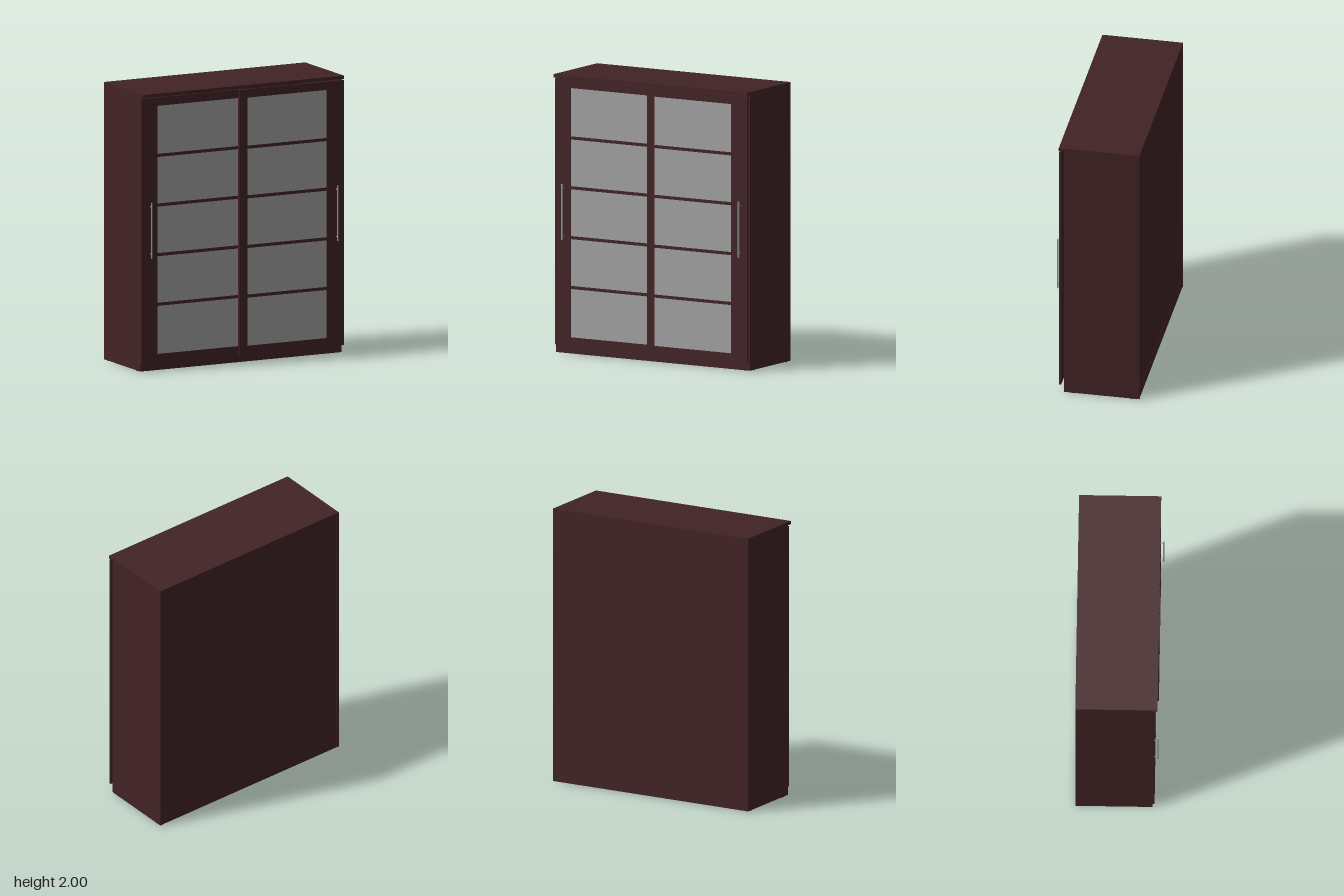
import * as THREE from 'three';

const wood = new THREE.MeshStandardMaterial({ name: 'dark wood', color: 0x422325 });
const glass = new THREE.MeshStandardMaterial({ name: 'frosted glass', color: 0xa6a4a4 });
const metal = new THREE.MeshStandardMaterial({ name: 'handle metal', color: 0x8f9a96 });

// Box given by its min and max corners
function slab(name, [x0, y0, z0], [x1, y1, z1], material = wood) {
  const mesh = new THREE.Mesh(new THREE.BoxGeometry(x1 - x0, y1 - y0, z1 - z0), material);
  mesh.name = name;
  mesh.position.set((x0 + x1) / 2, (y0 + y1) / 2, (z0 + z1) / 2);
  return mesh;
}

function rod(name, radius, length) {
  const mesh = new THREE.Mesh(new THREE.CylinderGeometry(radius, radius, length, 16), metal);
  mesh.name = name;
  return mesh;
}

// Upright bar on two short posts; origin on the door face
function createHandle() {
  const handle = new THREE.Group();
  handle.name = 'handle';
  const bar = rod('handleBar', 0.006, 0.4);
  bar.position.set(0, 1.017, 0.022);
  handle.add(bar);
  for (const y of [0.847, 1.187]) {
    const post = rod('handlePost', 0.004, 0.022);
    post.rotation.x = Math.PI / 2;
    post.position.set(0, y, 0.011);
    handle.add(post);
  }
  return handle;
}

// Sliding door: frame with an opening, glass pane and crossbars
function createDoor(name, x0, x1, glassX0, glassX1, z, handleX) {
  const door = new THREE.Group();
  door.name = name;
  const thick = 0.015, bottom = 0.062, top = 1.968, glassY0 = 0.122, glassY1 = 1.908;

  const outline = new THREE.Shape([[x0, bottom], [x1, bottom], [x1, top], [x0, top]]
    .map(p => new THREE.Vector2(...p)));
  outline.holes.push(new THREE.Path([[glassX0, glassY0], [glassX0, glassY1], [glassX1, glassY1], [glassX1, glassY0]]
    .map(p => new THREE.Vector2(...p))));
  const frame = new THREE.Mesh(new THREE.ExtrudeGeometry(outline, { depth: thick, bevelEnabled: false }), wood);
  frame.name = 'doorFrame';
  frame.position.z = z;
  door.add(frame);

  door.add(slab('glassPane', [glassX0, glassY0, z + 0.004], [glassX1, glassY1, z + 0.011], glass));
  for (let i = 1; i < 5; i++) {
    const y = glassY0 + (glassY1 - glassY0) * i / 5;
    door.add(slab('crossbar', [glassX0, y - 0.011, z + 0.002], [glassX1, y + 0.011, z + thick - 0.001]));
  }
  const handle = createHandle();
  handle.position.set(handleX, 0, z + thick);
  door.add(handle);
  return door;
}

export function createModel() {
  const wardrobe = new THREE.Group();
  wardrobe.name = 'wardrobe';
  const W = 0.807, back = -0.303, front = 0.242, t = 0.018, inner = W - t;

  // Carcass
  wardrobe.add(slab('topBoard', [-W, 1.976, back], [W, 2, 0.279]));
  for (const side of [-1, 1]) {
    const xs = [side * W, side * inner].sort((a, b) => a - b);
    wardrobe.add(slab('sidePanel', [xs[0], 0.004, back], [xs[1], 1.976, front]));
  }
  wardrobe.add(slab('backPanel', [-inner, 0.085, back + 0.004], [inner, 1.976, back + 0.012]));
  wardrobe.add(slab('floorBoard', [-inner, 0.062, back + 0.012], [inner, 0.085, front]));

  // Plinth rails, open underneath
  wardrobe.add(slab('frontPlinth', [-inner, 0.004, front - t], [inner, 0.062, front]));
  wardrobe.add(slab('backPlinth', [-inner, 0.004, back + 0.002], [inner, 0.085, back + t]));

  // Small glides under the sides
  for (const x of [-W + t / 2, W - t / 2])
    for (const z of [-0.25, 0.18])
      wardrobe.add(slab('glide', [x - 0.007, 0, z - 0.007], [x + 0.007, 0.004, z + 0.007]));

  // Doors overlap at the centre, the +x one running in front
  wardrobe.add(createDoor('rearSlidingDoor', -W, 0.03, -0.677, -0.03, 0.243, -0.735));
  wardrobe.add(createDoor('frontSlidingDoor', -0.03, W, 0.033, 0.672, 0.261, 0.748));
  return wardrobe;
}
